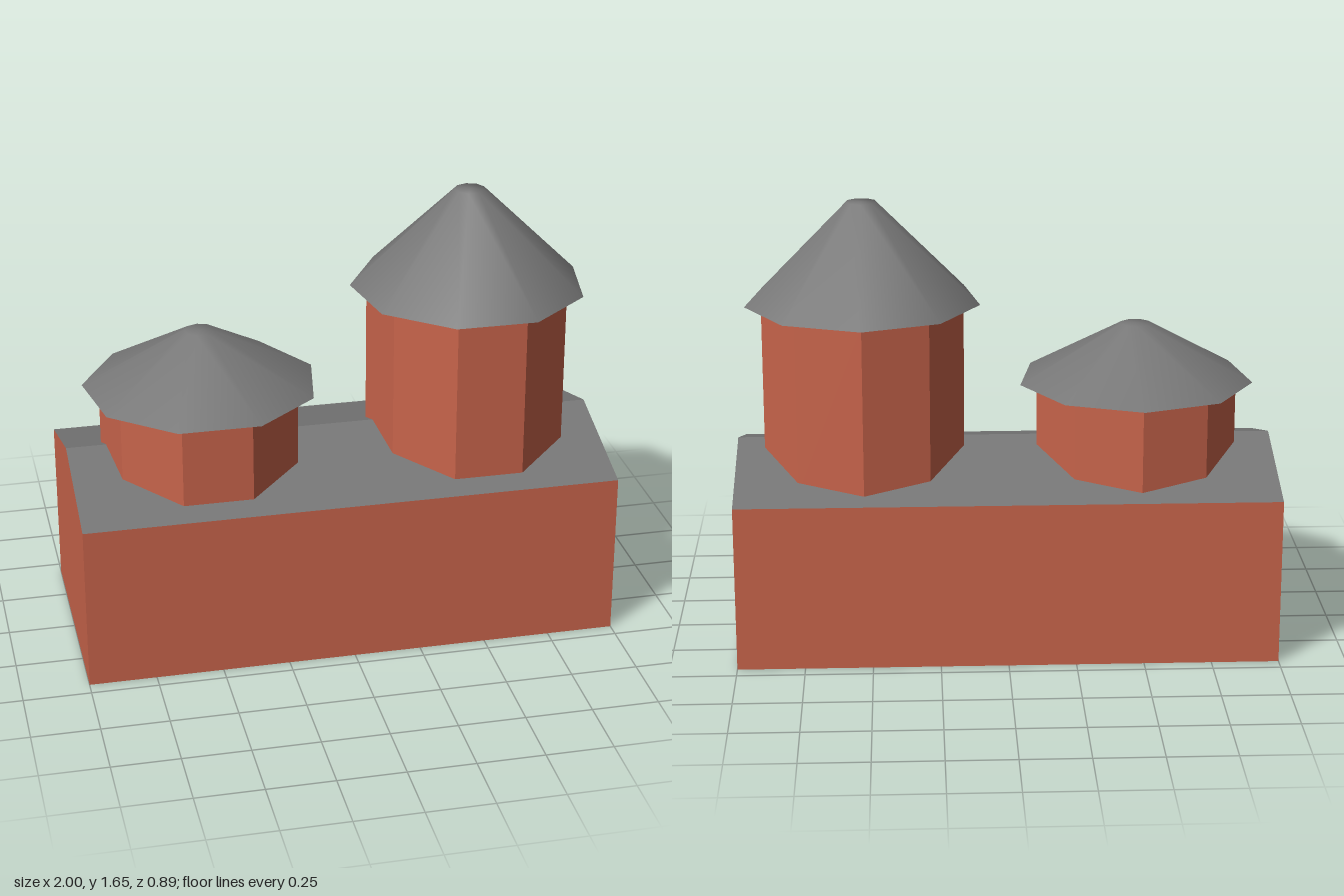
import * as THREE from 'three';

const HALF_LENGTH = 1, HALF_DEPTH = 0.443, EAVE = 0.625, RIDGE = 0.755, SIDES = 9;

export function createModel() {
  const model = new THREE.Group();
  model.name = 'building';
  const brick = new THREE.MeshStandardMaterial({ color: 0xc8644b, side: THREE.DoubleSide });
  brick.name = 'brick red';
  const slate = new THREE.MeshStandardMaterial({ color: 0x777777, side: THREE.DoubleSide });
  slate.name = 'slate grey';

  function add(parent, name, geometry, material) {
    const mesh = new THREE.Mesh(geometry, material);
    mesh.name = name;
    parent.add(mesh);
    return mesh;
  }

  // Long hall, open underneath: two walls, two gables, two roof slopes
  const hall = new THREE.Group();
  hall.name = 'hall';
  model.add(hall);

  const gable = new THREE.Shape([
    new THREE.Vector2(-HALF_DEPTH, 0),
    new THREE.Vector2(HALF_DEPTH, 0),
    new THREE.Vector2(HALF_DEPTH, EAVE),
    new THREE.Vector2(0, RIDGE),
    new THREE.Vector2(-HALF_DEPTH, EAVE),
  ]);
  const slopeLength = Math.hypot(HALF_DEPTH, RIDGE - EAVE);
  const lean = Math.atan2(HALF_DEPTH, RIDGE - EAVE);

  for (const [side, turn] of [['front', 0], ['back', Math.PI]]) {
    const half = new THREE.Group();
    half.name = side + 'Half';
    half.rotation.y = turn;
    hall.add(half);

    const wall = add(half, side + 'Wall', new THREE.PlaneGeometry(2 * HALF_LENGTH, EAVE), brick);
    wall.position.set(0, EAVE / 2, HALF_DEPTH);

    const slope = add(half, side + 'RoofSlope', new THREE.PlaneGeometry(2 * HALF_LENGTH, slopeLength), slate);
    slope.position.set(0, (EAVE + RIDGE) / 2, HALF_DEPTH / 2);
    slope.rotation.x = -lean;

    const end = add(half, side === 'front' ? 'leftGable' : 'rightGable', new THREE.ShapeGeometry(gable), brick);
    end.position.x = HALF_LENGTH;
    end.rotation.y = Math.PI / 2;
  }

  // Nine-sided tower with flat facets and a smooth, blunt conical roof
  function addTower(name, x, wallTop, roofTop) {
    const tower = new THREE.Group();
    tower.name = name;
    tower.position.x = x;
    model.add(tower);

    const height = wallTop - EAVE;
    const walls = new THREE.CylinderGeometry(0.378, 0.378, height, SIDES, 1, true, Math.PI).toNonIndexed();
    walls.computeVertexNormals();
    add(tower, name + 'Walls', walls, brick).position.y = EAVE + height / 2;

    const profile = [[0.44, wallTop], [0.057, roofTop], [0, roofTop]].map(([r, y]) => new THREE.Vector2(r, y));
    add(tower, name + 'Roof', new THREE.LatheGeometry(profile, SIDES, Math.PI), slate);
  }

  addTower('shortTower', -0.49, 0.97, 1.185);
  addTower('tallTower', 0.525, 1.28, 1.655);

  return model;
}
